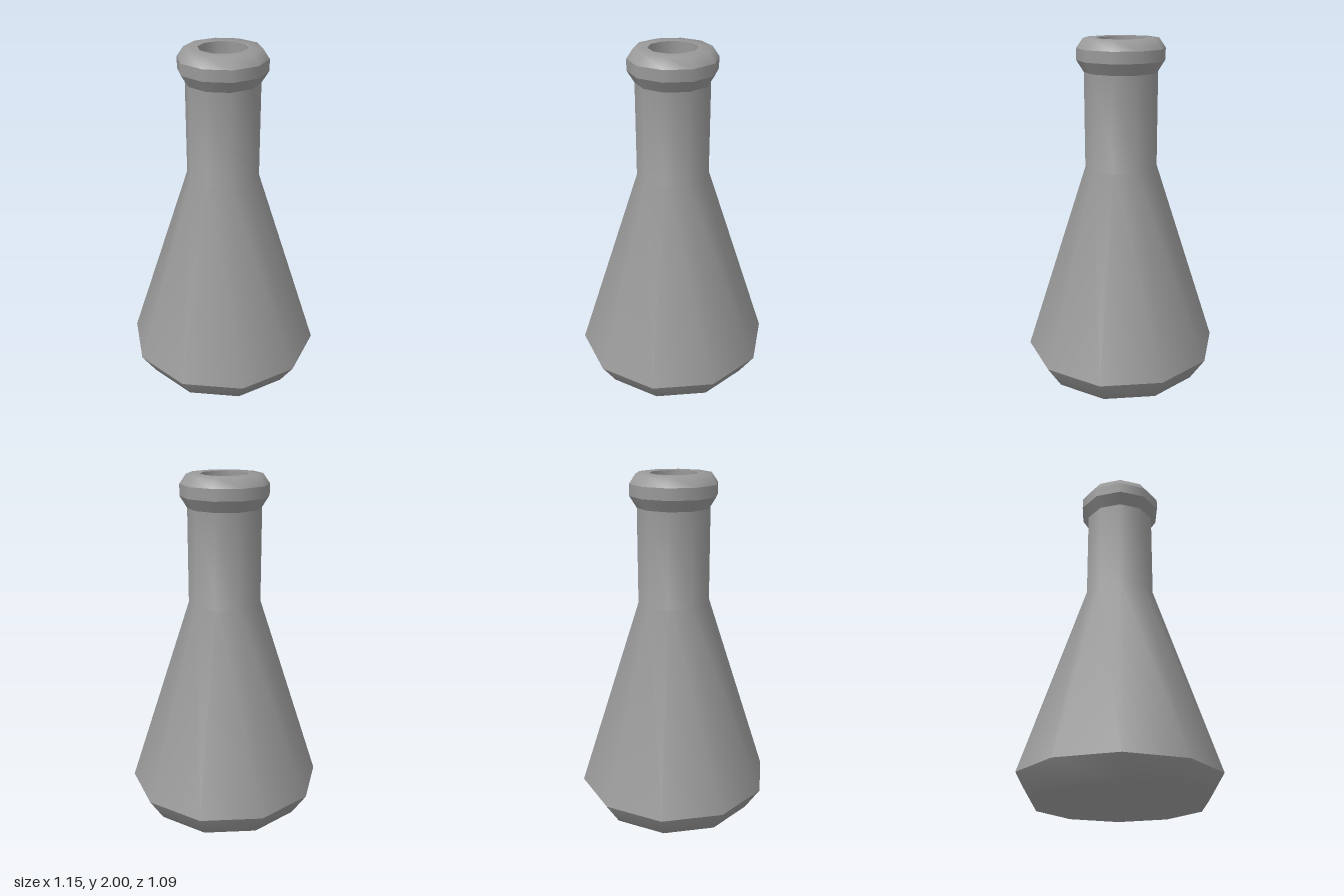
import * as THREE from 'three';

const SIDES = 10;

// Turns a [radius, height] profile into a ten-sided ring with a corner on the x axis
function turned(name, profile, material) {
  const points = profile.map(([r, y]) => new THREE.Vector2(r, y));
  const geometry = new THREE.LatheGeometry(points, SIDES, Math.PI / 2);
  geometry.normalizeNormals();
  const mesh = new THREE.Mesh(geometry, material);
  mesh.name = name;
  return mesh;
}

// Tilts the normals of the corners on the ground outwards, so bevel and bottom blend softly
function softenFoot(mesh) {
  const { position, normal } = mesh.geometry.attributes;
  const p = new THREE.Vector3();
  for (let i = 0; i < position.count; i++) {
    p.fromBufferAttribute(position, i);
    if (p.y > 0.01) continue;
    p.setY(-0.63).normalize();
    normal.setXYZ(i, p.x, p.y, p.z);
  }
  return mesh;
}

export function createModel() {
  const glass = new THREE.MeshStandardMaterial({ color: 0x999999 });
  const green = new THREE.MeshStandardMaterial({ color: 0x058220 });
  const flask = new THREE.Group();
  flask.name = 'flask';

  // Flat bottom
  const corners = Array.from({ length: SIDES }, (_, i) => {
    const a = (i / SIDES) * Math.PI * 2;
    return new THREE.Vector2(0.485 * Math.cos(a), 0.485 * Math.sin(a));
  });
  const bottom = new THREE.Mesh(
    new THREE.ShapeGeometry(new THREE.Shape(corners)).rotateX(Math.PI / 2), glass);
  bottom.name = 'bottom';

  // Outer shell, split into rings wherever the surface has a hard edge
  flask.add(
    softenFoot(bottom),
    softenFoot(turned('baseBevel', [[0.485, 0], [0.575, 0.14]], glass)),
    turned('bodyAndNeck', [[0.575, 0.14], [0.21, 1.27], [0.21, 1.82]], glass),
    turned('lipUnderside', [[0.21, 1.815], [0.251, 1.88]], glass),
    turned('lipBand', [[0.251, 1.88], [0.251, 1.945]], glass),
    turned('lipTop', [[0.251, 1.945], [0.213, 2], [0.137, 2]], glass),
  );

  // Inside of the neck and the hollow body
  flask.add(
    turned('innerNeck', [[0.137, 2], [0.137, 1.26]], glass),
    turned('innerBody', [[0.137, 1.26], [0.5, 0.15], [0.43, 0.06], [0, 0.06]], glass),
  );

  // Liquid surface, touching the inner wall
  const level = 0.7;
  const radius = THREE.MathUtils.mapLinear(level, 0.15, 1.26, 0.5, 0.137);
  flask.add(turned('liquid', [[radius, level], [0, level]], green));

  return flask;
}
